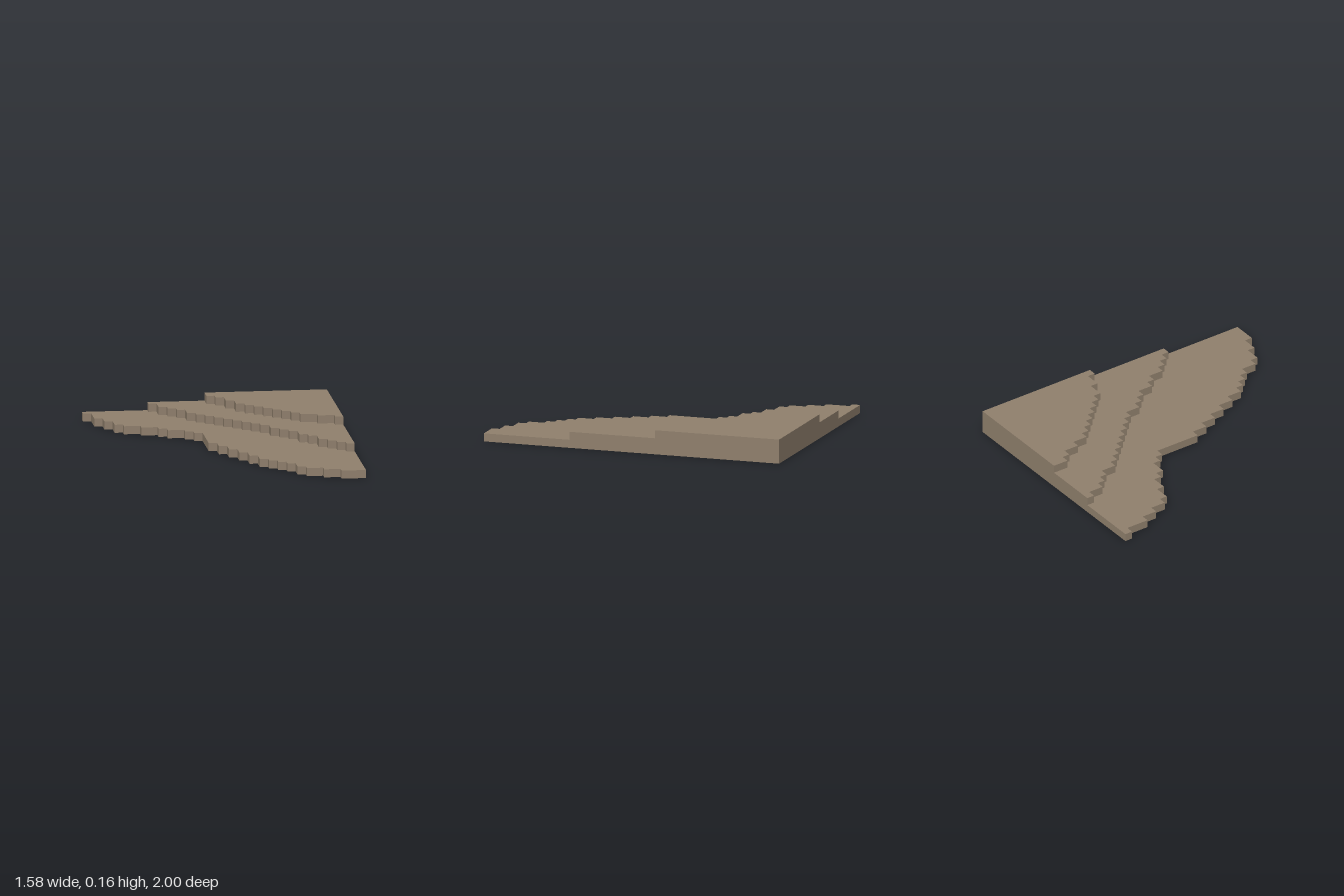
import * as THREE from 'three';

const CELL = 2 / 38; // terrain grid step; also the height of one tier
const WIDTH = 30;

// Each tier, from the back edge forward: [left column, number of rows]
const TIERS = [
  ['lowerTier', [[0, 1], [1, 3], [2, 2], [3, 2], [4, 1], [6, 1], [8, 1], [9, 1], [11, 1], [12, 1],
    [13, 6], [14, 2], [15, 2], [16, 2], [17, 2], [18, 2], [19, 1], [20, 1], [21, 1], [22, 2],
    [23, 1], [25, 1], [27, 1]]],
  ['middleTier', [[8, 1], [9, 2], [10, 1], [11, 1], [12, 2], [13, 1], [14, 1], [15, 1], [16, 1],
    [17, 1], [18, 1], [19, 1], [20, 1], [21, 2], [22, 1], [23, 1], [24, 2], [25, 1], [26, 2],
    [27, 1], [28, 1], [29, 1]]],
  ['upperTier', [[15, 2], [16, 1], [17, 2], [18, 2], [19, 1], [20, 1], [21, 1], [22, 1], [23, 1],
    [24, 1], [25, 1], [27, 1], [29, 1]]],
];

// Plan outline: straight back and left sides, stepped slope edge
function tierShape(runs) {
  const shape = new THREE.Shape();
  const x = (col) => (col - WIDTH / 2) * CELL;
  const z = (row) => row * CELL - 1;
  let row = 0;
  shape.moveTo(x(WIDTH), z(0));
  for (const [col, rows] of runs) {
    shape.lineTo(x(col), z(row));
    row += rows;
    shape.lineTo(x(col), z(row));
  }
  shape.lineTo(x(WIDTH), z(row));
  shape.closePath();
  return shape;
}

export function createModel() {
  const group = new THREE.Group();
  group.name = 'steppedHillCorner';
  const earth = new THREE.MeshStandardMaterial({ color: 0x8f7f6c });
  earth.name = 'earthBrown';

  // Stack the tiers from the ground up
  TIERS.forEach(([name, runs], level) => {
    const geometry = new THREE.ExtrudeGeometry(tierShape(runs), { depth: CELL, bevelEnabled: false });
    geometry.rotateX(Math.PI / 2);
    geometry.translate(0, (level + 1) * CELL, 0);
    const mesh = new THREE.Mesh(geometry, earth);
    mesh.name = name;
    group.add(mesh);
  });
  return group;
}
